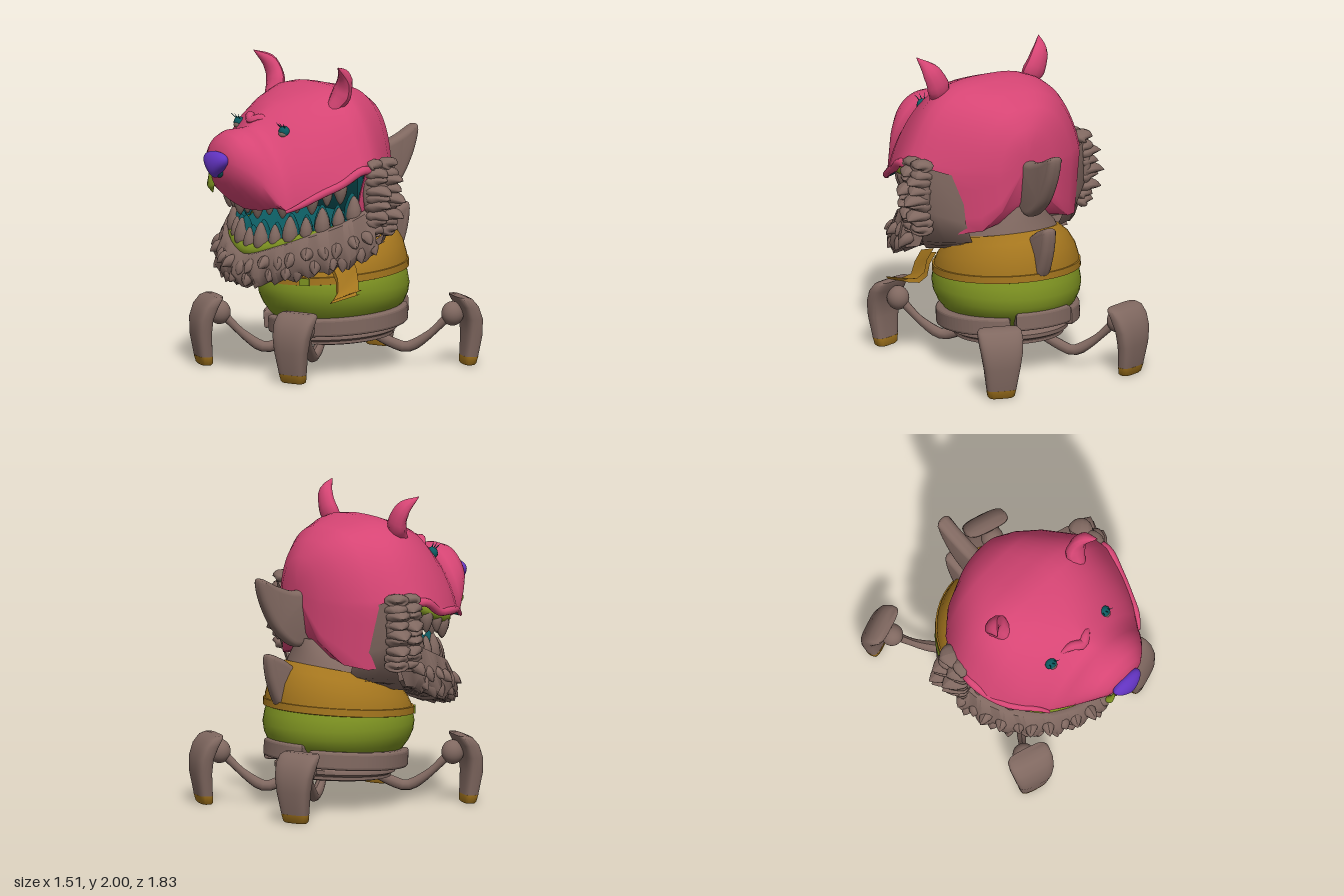
import * as THREE from 'three';
import { toCreasedNormals } from 'three/addons/utils/BufferGeometryUtils.js';

const V = (x, y, z) => new THREE.Vector3(x, y, z);
const { lerp, smoothstep } = THREE.MathUtils;
const mat = (name, color) => Object.assign(new THREE.MeshStandardMaterial({ color, side: THREE.DoubleSide }), { name });
const lerpList = (a, t) => {
  const f = t * (a.length - 1), i = Math.min(Math.floor(f), a.length - 2);
  return lerp(a[i], a[i + 1], f - i);
};
const spow = (v, p) => Math.sign(v) * Math.pow(Math.abs(v), p);

// Skin over rings of points; pick(i, j) gives the material slot of each quad
function loft(rings, { closed = true, caps = true, pick = () => 0, crease = 1 } = {}) {
  const pole = r => { const c = V(0, 0, 0); r.forEach(p => c.addScaledVector(p, 1 / r.length)); return r.map(() => c); };
  if (caps) rings = [pole(rings[0]), ...rings, pole(rings[rings.length - 1])];
  const n = rings[0].length, slots = [[], []];
  for (let i = 0; i < rings.length - 1; i++) for (let j = 0; j < (closed ? n : n - 1); j++) {
    const k = (j + 1) % n, a = i * n + j, b = i * n + k, c = b + n, d = a + n;
    slots[pick(i, j)].push(a, b, c, a, c, d);
  }
  const g = new THREE.BufferGeometry().setFromPoints(rings.flat());
  g.setIndex([...slots[0], ...slots[1]]);
  g.addGroup(0, slots[0].length, 0);
  if (slots[1].length) g.addGroup(slots[0].length, slots[1].length, 1);
  return toCreasedNormals(g, crease);
}
const sheet = rows => loft(rows, { closed: false, caps: false });

// Horizontal ring, rounder or boxier by power, sheared along z
const ringAt = (x, y, z, rx, rz, n = 40, power = 1, shear = 0) => Array.from({ length: n }, (_, j) => {
  const a = j / n * Math.PI * 2, dz = spow(Math.cos(a), power) * rz;
  return V(x + spow(Math.sin(a), power) * rx, y - dz * shear, z + dz);
});

// Tube with changing radius, optionally flattened along an axis
function sweep(pts, radii, { flat, k = 1, seg = 14, sides = 10 } = {}) {
  const curve = new THREE.CatmullRomCurve3(pts), g = new THREE.TubeGeometry(curve, seg, 1, sides, false);
  const p = g.attributes.position, o = V(0, 0, 0);
  for (let i = 0; i <= seg; i++) {
    const c = curve.getPointAt(i / seg), r = lerpList(radii, i / seg);
    for (let j = 0; j <= sides; j++) {
      const id = i * (sides + 1) + j;
      o.fromBufferAttribute(p, id).sub(c);
      if (flat) o.addScaledVector(flat, -(1 - k) * o.dot(flat));
      o.multiplyScalar(r).add(c);
      p.setXYZ(id, o.x, o.y, o.z);
    }
  }
  g.computeVertexNormals();
  return g;
}

export function createModel() {
  const root = new THREE.Group();
  const pink = mat('pink skin', 0xd64574), fur = mat('grey brown', 0x806860), green = mat('olive green', 0x7f9422);
  const gold = mat('ochre', 0xa5761e), teal = mat('dark teal', 0x0c5a60), purple = mat('purple', 0x6233c0);
  const add = (name, geo, m, parent = root) => {
    const o = new THREE.Mesh(geo, m); o.name = name; parent.add(o); return o;
  };
  const group = name => { const g = new THREE.Group(); g.name = name; root.add(g); return g; };
  const ball = (name, m, x, y, z, sx, sy, sz, parent) => {
    const o = add(name, new THREE.SphereGeometry(1, 24, 16), m, parent);
    o.position.set(x, y, z); o.scale.set(sx, sy, sz); return o;
  };
  const CX = -0.02, CZ = -0.12;

  // Body, sash and neck: [height, radius, shear, z shift]
  const turned = rows => loft(rows.map(([y, r, s, dz = 0]) => ringAt(CX, y, CZ + dz, r * 0.96, r, 48, 1, s)));
  add('body', turned([[0.27, 0.27, 0.05], [0.31, 0.35, 0.05], [0.36, 0.41, 0.03], [0.41, 0.455, 0], [0.47, 0.483, 0], [0.53, 0.492, 0],
    [0.6, 0.48, 0], [0.68, 0.45, 0.05], [0.8, 0.35, 0.2]]), green);
  add('sash', turned([[0.62, 0.45, 0.09], [0.62, 0.482, 0.09], [0.67, 0.476, 0.11], [0.74, 0.452, 0.16], [0.81, 0.405, 0.2], [0.86, 0.345, 0.23]]), gold);
  add('sashRim', turned([[0.605, 0.47, 0.08], [0.61, 0.49, 0.08], [0.655, 0.488, 0.08], [0.66, 0.46, 0.08]]), gold);
  add('neck', turned([[0.8, 0.36, 0.22], [0.9, 0.3, 0.22, -0.03], [0.97, 0.22, 0.2, -0.1], [1.08, 0.12, 0.1, -0.18]]), fur);
  add('sashStrap', sheet([[0.42, 0.76, 0.05, 0.2], [0.47, 0.69, 0.05, 0.2], [0.49, 0.61, 0.05, 0.21], [0.53, 0.565, 0.08, 0.28], [0.6, 0.575, 0.1, 0.34]]
    .map(([x, y, z0, z1]) => [V(x, y, z0), V(x, y - 0.05, z1), V(x - 0.02, y - 0.07, z1), V(x - 0.02, y - 0.03, z0)])), gold);
  for (const x of [-0.33, 0.25]) {
    const stud = add('sashStud', new THREE.BoxGeometry(0.07, 0.045, 0.009), green), a = Math.atan2(x - CX, 0.42);
    stud.position.set(CX + Math.sin(a) * 0.475, 0.6, CZ + Math.cos(a) * 0.492); stud.rotation.y = a;
  }

  // Tilted base with curved plates: [front angle, half angle, outer radius, bottom]
  add('baseDisc', turned([[0.21, 0.36, 0.06, -0.03], [0.225, 0.39, 0.06, -0.03], [0.25, 0.39, 0.06, -0.03], [0.29, 0.33, 0.06, -0.03]]), fur);
  add('lowerDisc', turned([[0.18, 0.32, 0.05, -0.03], [0.19, 0.36, 0.05, -0.03], [0.21, 0.36, 0.05, -0.03], [0.22, 0.3, 0.05, -0.03]]), fur);
  const base = group('base');
  base.position.set(CX, 0, -0.16); base.rotation.x = 0.07;
  for (const [mid, half, r, y] of [[0.18, 0.43, 0.435, 0.275], [Math.PI / 2, 1, 0.44, 0.28], [-Math.PI / 2, 1, 0.44, 0.28], [Math.PI, 0.4, 0.455, 0.31]]) {
    const s = new THREE.Shape(), a0 = mid - half - Math.PI / 2, a1 = mid + half - Math.PI / 2;
    s.absarc(0, 0, r, a0, a1, false); s.absarc(0, 0, r - 0.07, a1, a0, true);
    const g = new THREE.ExtrudeGeometry(s, { depth: 0.08, bevelSize: 0.02, bevelThickness: 0.018, bevelSegments: 3, curveSegments: 16 });
    add('basePlate', g.rotateX(-Math.PI / 2), fur, base).position.y = y;
  }
  const patch = add('platePatch', new THREE.BoxGeometry(0.075, 0.065, 0.009), pink, base);
  patch.position.set(0.092, 0.31, 0.446); patch.rotation.y = 0.2;

  // Four legs: arm, ball joint, hoof slab with an ochre tip
  const hoof = rows => loft(rows.map(([y, z, w, t]) => ringAt(0, y, z, w, t, 32, 0.6)), { crease: 0.9 });
  for (const sx of [-1, 1]) for (const sz of [-1, 1]) {
    const leg = group((sz > 0 ? 'front' : 'back') + (sx > 0 ? 'LeftLeg' : 'RightLeg'));
    const P = (x, y, z) => V(CX + sx * x, y, -0.14 + sz * z);
    add('arm', sweep([P(0.12, 0.2, 0.2), P(0.2, 0.14, 0.29), P(0.26, 0.11, 0.37), P(0.35, 0.18, 0.46), P(0.45, 0.32, 0.57)],
      [0.03, 0.035, 0.035, 0.024, 0.03]), fur, leg);
    const b = P(0.46, 0.33, 0.585);
    ball('joint', fur, b.x, b.y, b.z, 0.072, 0.078, 0.072, leg);
    const foot = new THREE.Group(); foot.name = 'foot'; leg.add(foot);
    foot.position.copy(P(0.485, 0, 0.68)); foot.rotation.y = Math.atan2(sx * 0.3, sz * 0.95);
    add('hoof', hoof([[0.055, 0.012, 0.095, 0.046], [0.2, 0.03, 0.118, 0.054], [0.3, 0.025, 0.135, 0.056],
      [0.38, -0.005, 0.145, 0.058], [0.43, -0.04, 0.143, 0.05], [0.445, -0.06, 0.125, 0.032]]), fur, foot);
    add('hoofTip', hoof([[0, 0.004, 0.075, 0.033], [0.01, 0.005, 0.087, 0.041], [0.056, 0.012, 0.096, 0.047]]), gold, foot);
  }

  // Head: [z, centre x, half width, lip half width, top, lip, side power, base of the dome]
  const sections = [
    [-0.43, 0.01, 0.08, 0.08, 1.52, 1.28, 1, 1.36], [-0.405, 0, 0.2, 0.21, 1.61, 1.08, 0.9, 1.33], [-0.33, -0.03, 0.34, 0.35, 1.72, 0.95, 0.8, 1.32],
    [-0.22, -0.03, 0.45, 0.48, 1.79, 0.92, 0.74, 1.32], [-0.1, -0.02, 0.52, 0.57, 1.815, 0.95, 0.69, 1.33], [-0.04, -0.01, 0.545, 0.6, 1.83, 1.05, 0.67, 1.35],
    [0.03, 0, 0.555, 0.62, 1.84, 1.37, 0.66, 1.37], [0.12, 0, 0.555, 0.63, 1.835, 1.35, 0.67, 1.35], [0.25, -0.01, 0.545, 0.61, 1.79, 1.27, 0.8, 1.27],
    [0.38, 0, 0.51, 0.55, 1.74, 1.21, 1.02, 1.21], [0.46, 0.01, 0.47, 0.5, 1.69, 1.17, 1.25, 1.17], [0.52, 0.02, 0.43, 0.45, 1.645, 1.13, 1.3, 1.13],
    [0.57, 0.03, 0.39, 0.41, 1.605, 1.1, 1.2, 1.1], [0.63, 0.04, 0.35, 0.36, 1.6, 1.08, 1.05, 1.16], [0.7, 0.04, 0.3, 0.3, 1.595, 1.12, 0.9, 1.27],
    [0.76, 0.045, 0.235, 0.235, 1.575, 1.19, 0.9, 1.34], [0.81, 0.05, 0.165, 0.165, 1.525, 1.26, 0.9, 1.38], [0.835, 0.05, 0.085, 0.085, 1.46, 1.33, 1, 1.4]];
  const N = 32, M = 12, K = 4, lift = (x, z) => 0.2 * Math.max(0, 0.05 - x) * smoothstep(z, 0.25, 0.55);
  const headRings = sections.map(([z, cx, w, wl, top, lip, p, low]) => {
    const ring = [], snout = z > 0.6, edge = snout ? low : lip, we = z < 0 ? wl * 0.92 : wl;
    const put = (x, y, k) => ring.push(V(x, y + k * lift(x, z), z));
    for (let i = 0; i < K; i++) put(cx + lerp(we, wl, i / K), lerp(edge, low, i / K), 1);
    for (let i = 0; i <= N; i++) {
      const a = i / N * Math.PI, s = Math.sin(a), c = Math.cos(a);
      put(cx + spow(c, p) * w + Math.sign(c) * (wl - w) * (1 - s) ** 3, low + (top - low) * s, (1 - s) ** 2);
    }
    for (let i = K - 1; i >= 0; i--) put(cx - lerp(we, wl, i / K), lerp(edge, low, i / K), 1);
    for (let i = 1; i < M; i++) {
      const u = -Math.cos(i / M * Math.PI), round = Math.sqrt(1 - u * u);
      put(cx + u * we, snout ? low - (low - lip) * round : lip + 0.05 * (1 - u * u), 1);
    }
    return ring;
  });
  add('head', loft(headRings, { pick: (i, j) => (j >= N + 2 * K && i >= 5 && i <= 12 ? 1 : 0), crease: 1.3 }), [pink, teal]);
  add('browRidge', sweep([V(-0.16, 1.62, 0.46), V(-0.08, 1.65, 0.49), V(-0.02, 1.63, 0.52), V(0.04, 1.65, 0.49), V(0.1, 1.62, 0.47)],
    [0.01, 0.03, 0.035, 0.03, 0.01]), pink);
  for (const s of [-1, 1]) {
    add(s > 0 ? 'leftEar' : 'rightEar', sweep([V(s * 0.33, 1.7, 0.16), V(s * 0.36, 1.81, 0.09), V(s * 0.41, 1.92, 0.1), V(s * 0.46, 2, 0.19)],
      [0.045, 0.08, 0.06, 0.003], { flat: V(0, 0, 1), k: 0.65 }), pink);
    const roll = [[0.53, 1.04, 0.07], [0.57, 1.2, 0.06], [0.615, 1.34, 0.06], [0.625, 1.345, 0.13], [0.595, 1.27, 0.25], [0.545, 1.21, 0.38], [0.46, 1.135, 0.52], [0.41, 1.1, 0.58]];
    add('lipRoll', sweep(roll.map(([x, y, z]) => V(s * x + (z > 0.5 ? 0.025 : 0), y + lift(s * x, z), z)),
      [0.02, 0.03, 0.03, 0.028, 0.025, 0.025, 0.022, 0.01], { seg: 28 }), pink);
    // Eyes with lashes
    const eye = group(s > 0 ? 'leftEye' : 'rightEye'), ex = s * 0.245;
    ball('eyeball', teal, ex, 1.585, 0.458, 0.04, 0.038, 0.034, eye);
    ball('iris', fur, ex + 0.004, 1.572, 0.472, 0.03, 0.022, 0.026, eye);
    for (let i = -1; i <= 1; i++) add('lash', sweep([V(ex + i * 0.02, 1.61, 0.465), V(ex + i * 0.028, 1.63, 0.485), V(ex + i * 0.04, 1.645, 0.495)],
      [0.004, 0.003, 0.001], { seg: 4, sides: 5 }), teal, eye);
  }

  // Nose, wide above and pointed below, with a drip
  const noseGeo = new THREE.SphereGeometry(1, 28, 20), np = noseGeo.attributes.position;
  for (let i = 0; i < np.count; i++) np.setX(i, np.getX(i) * (0.72 + 0.5 * np.getY(i)));
  noseGeo.computeVertexNormals();
  const nose = add('nose', noseGeo, purple);
  nose.position.set(0.045, 1.385, 0.85); nose.scale.set(0.135, 0.085, 0.06);
  ball('noseUnderside', teal, 0.045, 1.345, 0.825, 0.055, 0.045, 0.045);
  add('noseDrip', sweep([V(-0.045, 1.34, 0.83), V(-0.06, 1.27, 0.82), V(-0.075, 1.22, 0.8), V(-0.078, 1.185, 0.785)], [0.008, 0.013, 0.026, 0.003]), green);

  // Jaw arches
  const arch = (half, mid) => new THREE.CatmullRomCurve3([...half.map(([x, y, z]) => V(-x, y, z)), V(...mid), ...half.reverse().map(([x, y, z]) => V(x, y, z))]);
  const lower = arch([[0.57, 1, 0.02], [0.53, 0.93, 0.2], [0.42, 0.87, 0.38], [0.24, 0.81, 0.51]], [0.02, 0.765, 0.575]);
  const upper = arch([[0.52, 1.28, 0.12], [0.49, 1.21, 0.32], [0.35, 1.165, 0.47]], [0.04, 1.135, 0.57]);
  const along = (c, t, n, y) => {
    const d = c.getTangentAt(t);
    return c.getPointAt(t).addScaledVector(V(-d.z, 0, d.x).normalize(), n).add(V(0, y, 0));
  };
  const inset = (c, n, y) => Array.from({ length: 21 }, (_, i) => along(c, i / 20, n, y));
  const side = t => Math.abs(2 * t - 1);
  add('jawFur', loft(Array.from({ length: 61 }, (_, i) => {
    const t = i / 60, w = 0.018 * Math.sin(i * 1.3), v = 0.018 * Math.sin(i * 1.7 + 1), up = 0.085 * side(t), k = 1 + 0.15 * side(t);
    return [[0.01, 0.02 + up], [0.05, 0.01 + up], [0.09 + w * 0.5, -0.05], [0.1 + w, -0.12 * k + v], [0.06 + w, -0.18 * k + v], [-0.02, -0.17 * k], [-0.07, -0.08], [-0.04, 0]]
      .map(([n, y]) => along(lower, t, n, y));
  })), fur);
  add('lowerGum', sweep(inset(lower, -0.025, 0.035), [0.03, 0.048, 0.052, 0.048, 0.03], { seg: 48 }), green);
  add('upperGum', sweep(inset(upper, 0, 0.02), [0.035, 0.045, 0.045, 0.045, 0.035], { seg: 48 }), green);

  // Mouth floor, chin underside and throat lining
  add('mouthFloor', sheet(inset(lower, -0.05, 0.03).map(p => [p, V(p.x * 0.95, p.y * 0.5 + 0.48, (p.z - 0.1) / 2), V(p.x * 0.9, 1.01, -0.1)])), teal);
  add('chinUnderside', sheet(inset(lower, -0.03, -0.15).map(p => [p, V(p.x * 0.95, p.y * 0.5 + 0.4, (p.z - 0.1) / 2), V(p.x * 0.8, 0.84, -0.2)])), fur);
  add('throat', sheet([0.92, 1.15, 1.39].map(y => Array.from({ length: 17 }, (_, i) => {
    const u = i / 8 - 1; return V(u * 0.55, y, 0.1 - 0.22 * (1 - u ** 4));
  }))), teal);

  // Teeth: bulging cones, taller ones in alternation
  const toothGeo = new THREE.LatheGeometry([[0.8, 0], [1, 0.2], [0.85, 0.5], [0.5, 0.8], [0.2, 0.96], [0, 1]].map(p => new THREE.Vector2(...p)), 12);
  const teeth = (name, curve, count, dir, h, n, y, m, r) => {
    const g = group(name);
    for (let i = 0; i < count; i++) {
      const o = add('tooth', toothGeo, m, g), k = i % 2 ? 0.84 : 1.05;
      o.position.copy(along(curve, 0.06 + 0.88 * i / (count - 1), n, y));
      o.scale.set(r * k, h * k, r * k);
      if (dir < 0) o.rotation.x = Math.PI;
    }
  };
  teeth('lowerTeeth', lower, 15, 1, 0.155, -0.02, 0.055, fur, 0.05);
  teeth('lowerTeethBacking', lower, 15, 1, 0.165, -0.05, 0.06, teal, 0.052);
  teeth('upperTeeth', upper, 15, -1, 0.125, 0, 0.01, fur, 0.044);

  // Chunky fur locks under the jaw and on the cheeks
  const locks = group('furLocks');
  const lock = (a, b, r, opt) => add('lock', sweep([a, a.clone().lerp(b, 0.5).add(V(0, 0.015, 0)), b], [r * 0.8, r, r * 0.85, r * 0.55, 0.003], { seg: 10, ...opt }), fur, locks);
  for (let i = 0; i < 20; i++) for (const row of [0, 1]) {
    const t = (i + 0.5 * row + 0.25) / 20, j = 0.02 * Math.sin(i * 4.3 + row), k = 1 + 0.15 * side(t);
    lock(along(lower, t, 0.03, -0.05 - 0.07 * row), along(lower, t + 0.01 * Math.sin(i * 2.1), 0.125 + j - 0.025 * row, (-0.09 - 0.09 * row) * k + j), 0.046);
  }
  for (const s of [-1, 1]) {
    ball('cheekFur', fur, s * 0.605, 1.19, -0.04, 0.06, 0.21, 0.13, locks);
    add('cheekSkin', sheet([[[0.61, 1.38, -0.12], [0.62, 1.1, -0.12], [0.58, 0.86, -0.06], [0.46, 0.76, 0.08]],
      [[0.56, 1.36, -0.17], [0.55, 1.06, -0.19], [0.47, 0.86, -0.17], [0.34, 0.77, -0.03]],
      [[0.4, 1.3, -0.24], [0.38, 1.0, -0.27], [0.32, 0.86, -0.25], [0.22, 0.78, -0.1]]].map(r => r.map(([x, y, z]) => V(s * x, y, z)))), fur);
    for (let i = 0; i < 9; i++) for (let j = 0; j < 2; j++) {
      const y = 0.94 + i * 0.053, z = 0.02 - j * 0.1, reach = 0.65 + 0.085 * Math.sin(i / 8 * Math.PI) + 0.02 * Math.sin(i * 3 + j * 2);
      lock(V(s * 0.58, y, z), V(s * reach, y + 0.02 * Math.sin(i * 2.3 + j), z - 0.05), 0.085, { flat: V(0, 1, 0), k: 0.5 });
    }
  }

  // Back fins; shape x is measured backwards from the centre
  const fin = (name, pts) => {
    const s = new THREE.Shape(); s.moveTo(...pts[0]); s.splineThru(pts.slice(1).map(p => new THREE.Vector2(...p)));
    const g = new THREE.ExtrudeGeometry(s, { depth: 0.02, bevelSize: 0.035, bevelOffset: -0.035, bevelThickness: 0.04, bevelSegments: 4, curveSegments: 24 });
    add(name, toCreasedNormals(g.translate(0, 0, -0.01).rotateY(Math.PI / 2), 0.8), fur);
  };
  fin('upperFin', [[0.34, 1.4], [0.48, 1.4], [0.6, 1.44], [0.745, 1.5], [0.73, 1.36], [0.64, 1.18], [0.53, 1.07], [0.44, 1.035], [0.34, 1.07]]);
  fin('lowerFin', [[0.4, 0.85], [0.5, 0.925], [0.58, 0.975], [0.68, 1.0], [0.675, 0.86], [0.62, 0.7], [0.57, 0.66], [0.42, 0.66]]);
  return root;
}
